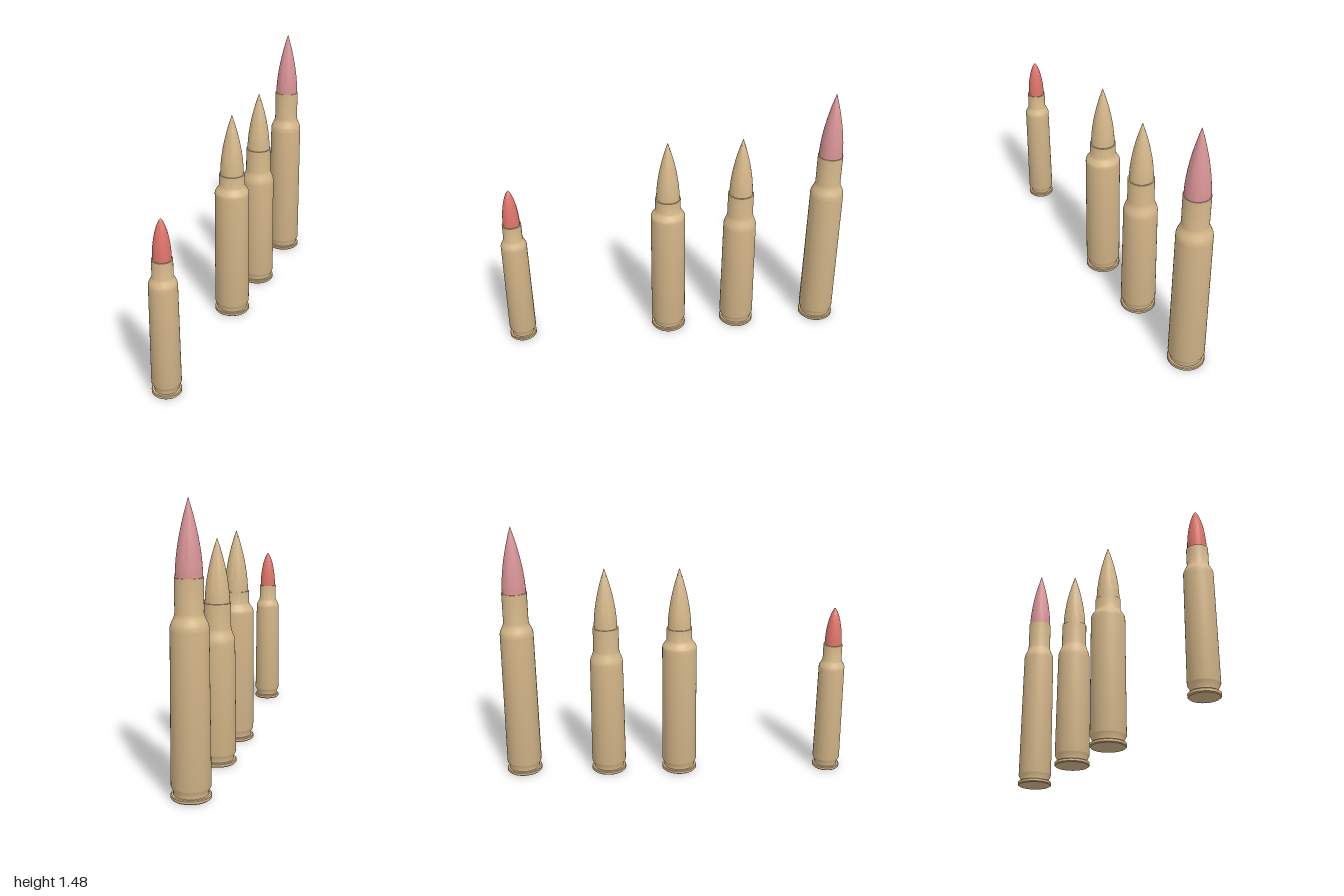
import * as THREE from 'three';
import { toCreasedNormals } from 'three/addons/utils/BufferGeometryUtils.js';

const SEGMENTS = 40;

// Each round: centre z, rim radius, body radius at base and shoulder, neck radius,
// heights of shoulder start, shoulder end, case mouth and tip, and the nose curve.
const ROUNDS = [
  { name: 'smallRound', z: 0.921, rim: 0.079, base: 0.079, top: 0.074, neck: 0.054,
    shoulder: [0.64, 0.69], mouth: 0.778, tip: 0.995, bullet: 0.048, nose: [2, 0.7], color: 'red' },
  { name: 'straightRound', z: 0.032, rim: 0.102, base: 0.101, top: 0.099, neck: 0.073,
    shoulder: [0.77, 0.82], mouth: 0.885, tip: 1.235, bullet: 0.067, nose: [1.8, 1], color: 'brass' },
  { name: 'taperedRound', z: -0.39, rim: 0.102, base: 0.101, top: 0.095, neck: 0.074,
    shoulder: [0.685, 0.757], mouth: 0.89, tip: 1.235, bullet: 0.067, nose: [1.8, 1], color: 'brass' },
  { name: 'longRound', z: -0.897, rim: 0.103, base: 0.101, top: 0.095, neck: 0.071,
    shoulder: [0.86, 0.93], mouth: 1.1, tip: 1.475, bullet: 0.067, nose: [1.75, 1], color: 'pink' },
];

function lathe(points, material, name) {
  const profile = points.map(([r, y]) => new THREE.Vector2(r, y));
  const geometry = toCreasedNormals(new THREE.LatheGeometry(profile, SEGMENTS), 0.6);
  const mesh = new THREE.Mesh(geometry, material);
  mesh.name = name;
  return mesh;
}

// Rim, extractor groove, tapered body, rounded shoulder, neck and mouth lip
function caseProfile(s) {
  const [y0, y1] = s.shoulder;
  const points = [
    [0, 0], [s.rim - 0.005, 0], [s.rim, 0.005], [s.rim, 0.018], [s.rim - 0.004, 0.022],
    [s.rim - 0.014, 0.023], [s.rim - 0.014, 0.038], [s.base - 0.002, 0.06], [s.base, 0.066],
    [s.top, y0 - 0.015],
  ];
  const curve = new THREE.CubicBezierCurve(
    new THREE.Vector2(s.top, y0), new THREE.Vector2(s.top - 0.002, y0 + (y1 - y0) * 0.35),
    new THREE.Vector2(s.neck + 0.002, y1 - (y1 - y0) * 0.35), new THREE.Vector2(s.neck, y1));
  for (const p of curve.getPoints(8)) points.push([p.x, p.y]);
  points.push([s.neck, s.mouth], [s.bullet - 0.004, s.mouth]);
  return points;
}

// Curved nose rising from inside the case mouth
function bulletProfile(s) {
  const [a, b] = s.nose;
  const points = [[s.bullet, s.mouth - 0.02]];
  const steps = 20;
  for (let i = 0; i <= steps; i++) {
    const t = Math.sin((i / steps) * Math.PI / 2);
    const r = i === steps ? 0 : s.bullet * Math.pow(1 - Math.pow(t, a), b);
    points.push([r, s.mouth + t * (s.tip - s.mouth)]);
  }
  return points;
}

export function createModel() {
  const materials = {};
  for (const [name, color] of [['brass', 0xd6b88a], ['red', 0xe0756a], ['pink', 0xd99496]]) {
    materials[name] = new THREE.MeshStandardMaterial({ color });
    materials[name].name = name;
  }
  const model = new THREE.Group();
  model.name = 'cartridgeSet';
  for (const s of ROUNDS) {
    const round = new THREE.Group();
    round.name = s.name;
    round.position.z = s.z;
    round.add(lathe(caseProfile(s), materials.brass, 'case'));
    round.add(lathe(bulletProfile(s), materials[s.color], 'bullet'));
    model.add(round);
  }
  return model;
}
